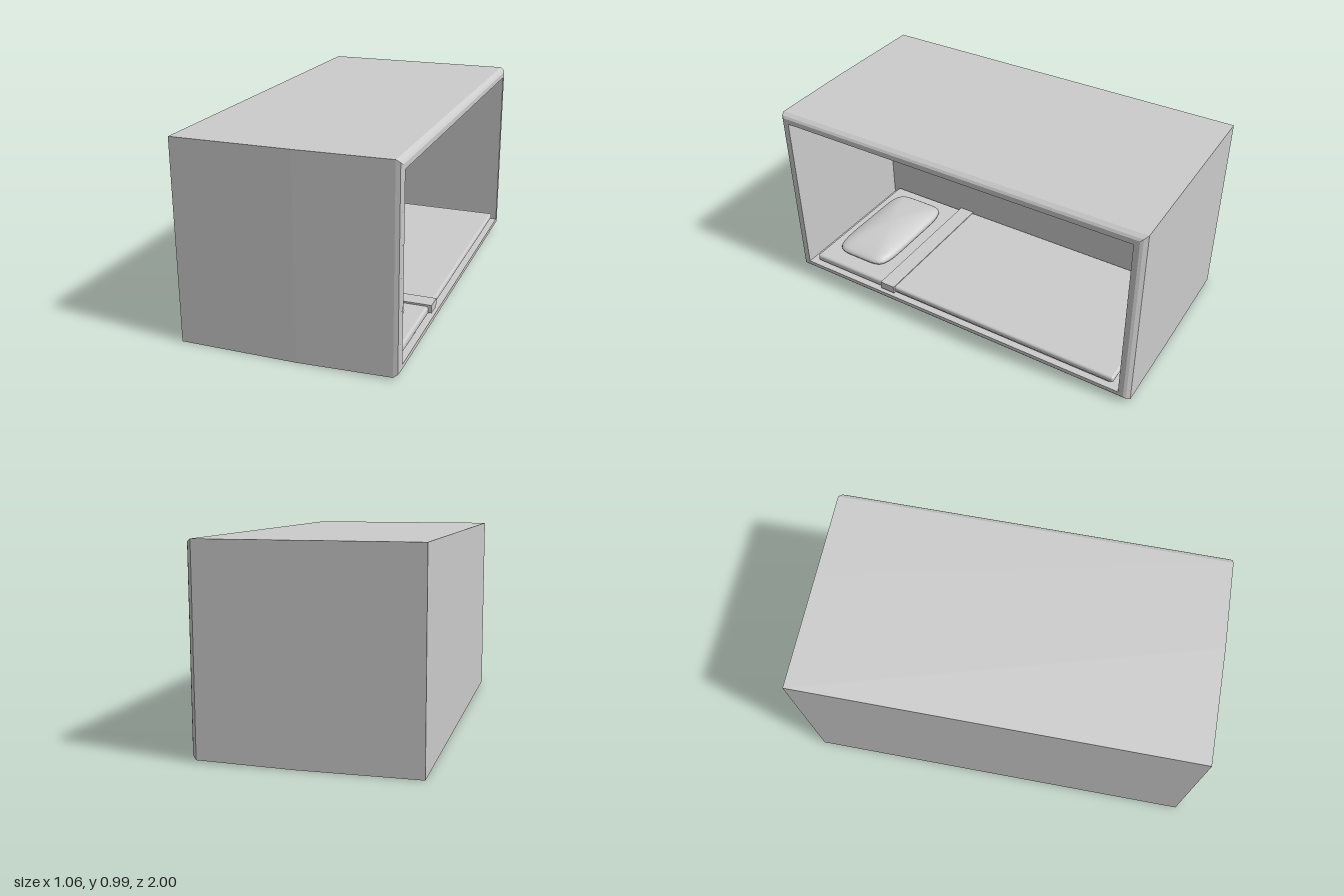
import * as THREE from 'three';
import { RoundedBoxGeometry } from 'three/addons/geometries/RoundedBoxGeometry.js';

const material = new THREE.MeshStandardMaterial({ color: 0xcccccc });

function add(group, name, geometry) {
  const mesh = new THREE.Mesh(geometry, material);
  mesh.name = name;
  group.add(mesh);
  return mesh;
}

// Block given by its lowest and highest corners
function addBlock(group, name, min, max, radius) {
  const size = max.map((v, i) => v - min[i]);
  const geometry = radius
    ? new RoundedBoxGeometry(...size, 3, radius)
    : new THREE.BoxGeometry(...size);
  const mesh = add(group, name, geometry);
  mesh.position.set(...max.map((v, i) => (v + min[i]) / 2));
}

// Flat-faced skin over a series of rectangles [x, z0, z1, y0, y1]
function rectLoft(sections) {
  const loops = sections.map(([x, z0, z1, y0, y1]) =>
    [[x, y0, z1], [x, y0, z0], [x, y1, z0], [x, y1, z1]]);
  const out = [];
  const quad = (a, b, c, d) => out.push(...a, ...b, ...c, ...a, ...c, ...d);
  for (let s = 0; s < loops.length - 1; s++) {
    const a = loops[s], b = loops[s + 1];
    for (let i = 0; i < 4; i++) {
      const j = (i + 1) % 4;
      quad(a[i], a[j], b[j], b[i]);
    }
  }
  quad(...[...loops[0]].reverse());
  quad(...loops[loops.length - 1]);
  const geometry = new THREE.BufferGeometry();
  geometry.setAttribute('position', new THREE.Float32BufferAttribute(out, 3));
  geometry.computeVertexNormals();
  return geometry;
}

// Cushion: a lathe profile squared off into a soft rectangle
function cushion(halfX, halfZ, profile) {
  const geometry = new THREE.LatheGeometry(
    profile.map(([r, y]) => new THREE.Vector2(r, y)), 64);
  const p = geometry.attributes.position;
  for (let i = 0; i < p.count; i++) {
    const x = p.getX(i), z = p.getZ(i), r = Math.hypot(x, z);
    if (r < 1e-6) continue;
    const k = Math.pow((x / r) ** 6 + (z / r) ** 6, -1 / 6);
    p.setX(i, x * k * halfX);
    p.setZ(i, z * k * halfZ);
  }
  geometry.computeVertexNormals();
  return geometry;
}

export function createModel() {
  const model = new THREE.Group();
  model.name = 'sleepingPod';

  // Outer box, bevelled rim and hollow cabin, open towards +x
  add(model, 'podShell', rectLoft([
    [-0.53, -1, 1, 0, 0.99],
    [0.05, -1, 1, 0, 0.99],
    [0.5, -1, 0.99, 0.01, 0.99],
    [0.52, -0.985, 0.985, 0.025, 0.978],
    [0.527, -0.972, 0.972, 0.034, 0.967],
    [0.527, -0.945, 0.945, 0.055, 0.94],
    [-0.27, -0.945, 0.945, 0.055, 0.94],
  ]));

  // Bedding
  const bed = new THREE.Group();
  bed.name = 'bed';
  model.add(bed);
  addBlock(bed, 'mattress', [-0.265, 0.058, -0.895], [0.5, 0.1, 0.905], 0.014);
  addBlock(bed, 'blanket', [-0.268, 0.07, -0.907], [0.506, 0.104, 0.42], 0.012);
  addBlock(bed, 'blanketFold', [-0.268, 0.068, 0.37], [0.516, 0.109, 0.455]);

  const pillow = add(bed, 'pillow', cushion(0.3, 0.163, [
    [0, 0.098], [0.92, 0.1], [0.98, 0.107], [1, 0.117], [0.99, 0.128], [0.95, 0.137],
    [0.86, 0.147], [0.7, 0.158], [0.5, 0.167], [0.25, 0.173], [0, 0.174],
  ]));
  pillow.position.set(0.12, 0, 0.677);

  return model;
}
